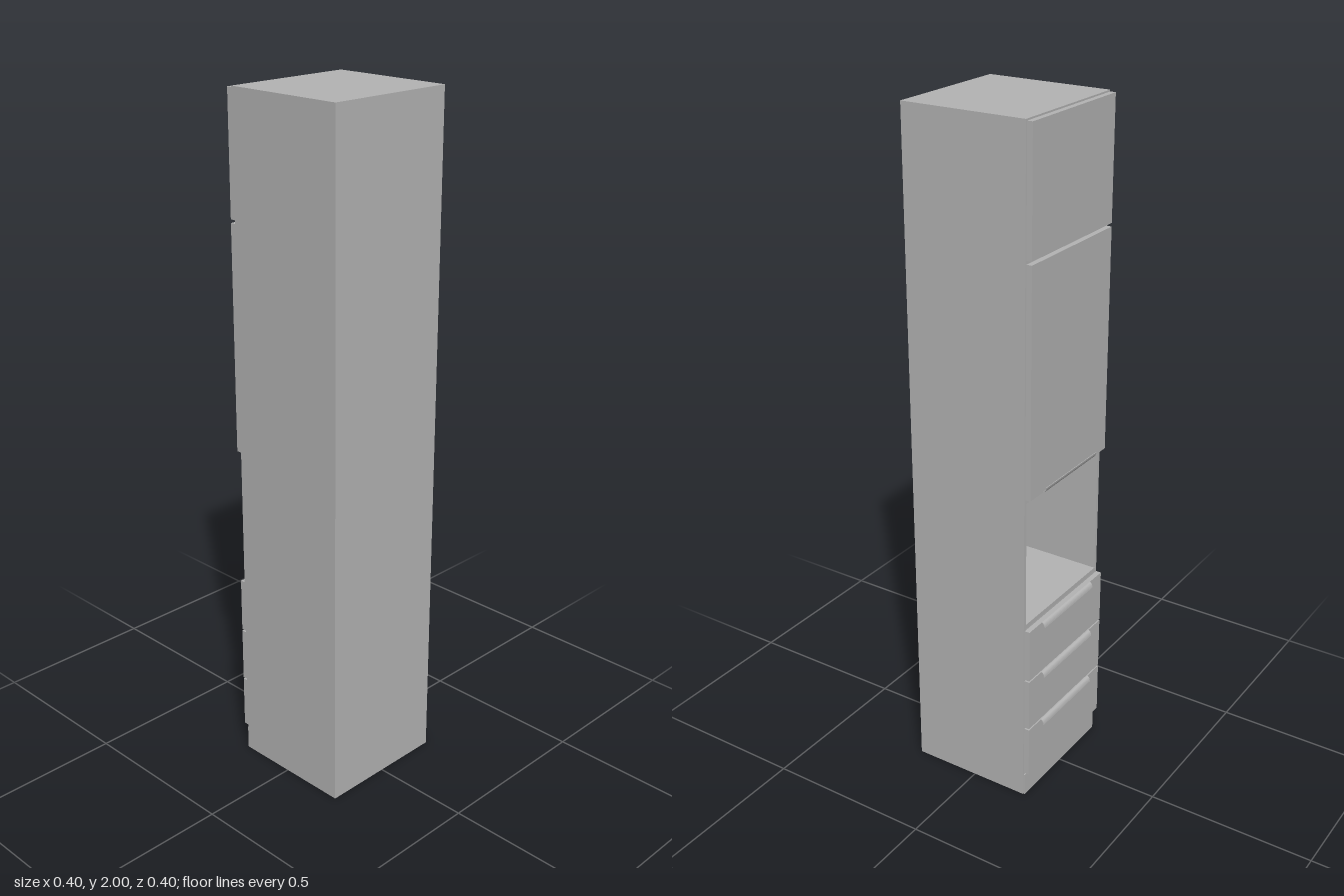
import * as THREE from 'three';

export function createModel() {
  const model = new THREE.Group();
  const grey = new THREE.MeshStandardMaterial({ color: 0xb4b4b4 });
  grey.name = 'plain grey';

  // Box given by its lower and upper corners
  function board(name, x0, x1, y0, y1, z0, z1) {
    const mesh = new THREE.Mesh(new THREE.BoxGeometry(x1 - x0, y1 - y0, z1 - z0), grey);
    mesh.position.set((x0 + x1) / 2, (y0 + y1) / 2, (z0 + z1) / 2);
    mesh.name = name;
    model.add(mesh);
  }

  const half = 0.2, t = 0.011, inner = half - t;
  const front = -0.173, back = 0.2, doorFront = -0.191;

  // Carcass: sides, back and horizontal boards around the open niche
  board('leftSide', inner, half, 0, 2, front, back);
  board('rightSide', -half, -inner, 0, 2, front, back);
  board('backPanel', -inner, inner, 0, 2, back - t, back);
  board('topBoard', -inner, inner, 2 - t, 2, front, back - t);
  board('bottomBoard', -inner, inner, 0, t, front, back - t);
  board('nicheFloor', -inner, inner, 0.572, 0.585, front, back - t);
  board('nicheCeiling', -inner, inner, 0.967, 0.98, front, back - t);
  board('middleShelf', -inner, inner, 1.635, 1.648, front, back - t);
  board('plinth', -0.198, 0.198, 0, 0.07, -0.177, front);

  // Curved grip lip; dir -1 curls down from a top edge, +1 up from a bottom edge
  function grip(name, y, dir) {
    const h = 0.016 * dir, out = 0.01;
    const shape = new THREE.Shape();
    shape.moveTo(0, 0);
    shape.quadraticCurveTo(out * 0.8, h * 0.1, out, h);
    shape.lineTo(out - 0.002, h);
    shape.quadraticCurveTo(out * 0.6, h * 0.25, 0, h * 0.2);
    const geo = new THREE.ExtrudeGeometry(shape, { depth: 0.266, bevelEnabled: false, curveSegments: 6 });
    geo.translate(0, 0, -0.133).rotateY(Math.PI / 2);
    const mesh = new THREE.Mesh(geo, grey);
    mesh.position.set(0, y, doorFront);
    mesh.name = name;
    model.add(mesh);
  }

  // Three drawers with grips along their top edges
  [[0.078, 0.236], [0.241, 0.402], [0.407, 0.57]].forEach(([y0, y1], i) => {
    board('drawerFront' + (i + 1), -0.198, 0.198, y0, y1, doorFront, front - 0.002);
    grip('drawerGrip' + (i + 1), y1, -1);
  });

  // Two upper doors; the lower one has a grip along its bottom edge
  board('middleDoor', -0.198, 0.198, 0.983, 1.64, doorFront, front - 0.002);
  grip('middleDoorGrip', 0.983, 1);
  board('topDoor', -0.198, 0.198, 1.65, 1.996, doorFront, front - 0.002);

  return model;
}
